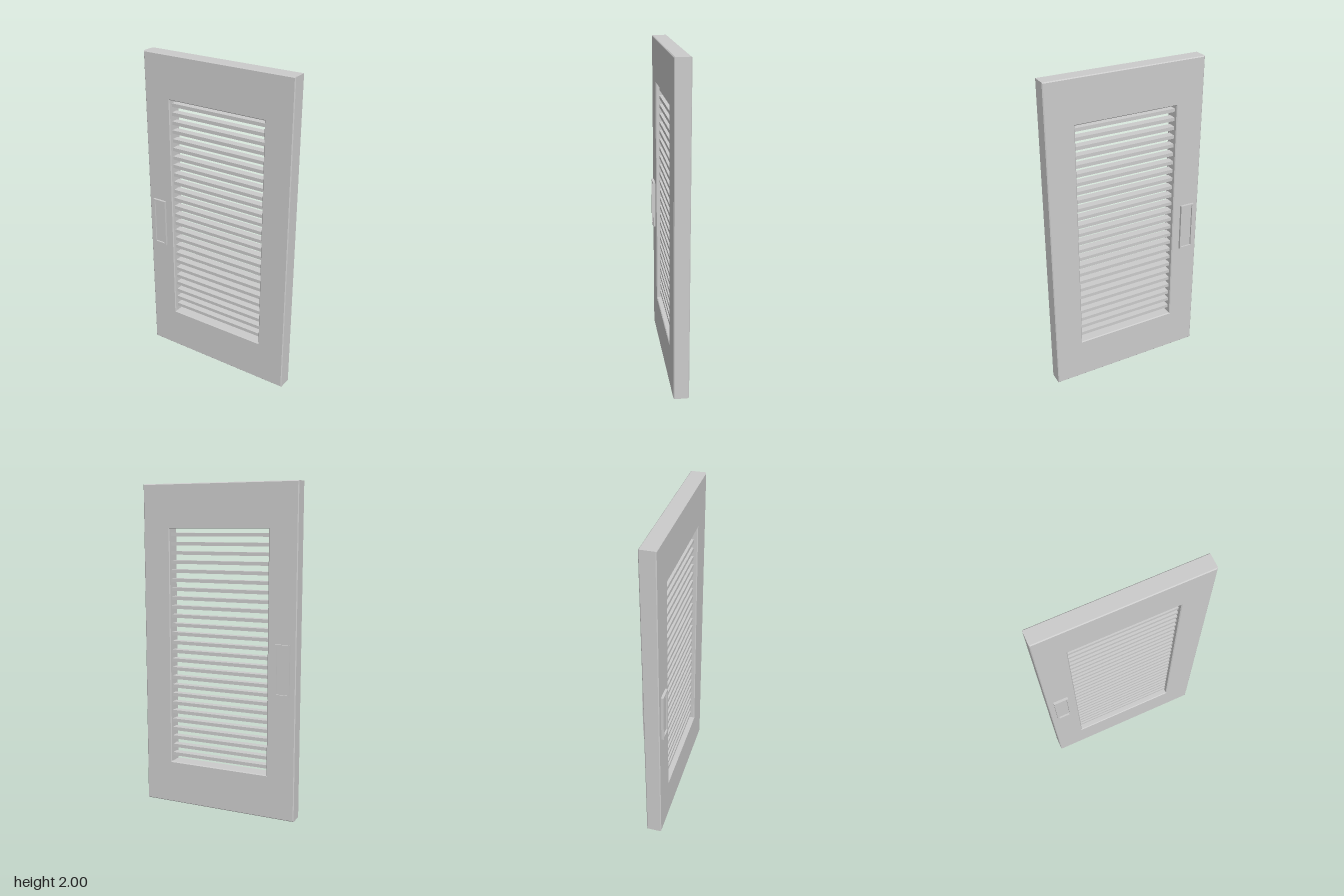
import * as THREE from 'three';

const material = new THREE.MeshStandardMaterial({ color: 0xcccccc, flatShading: true });

function rectPoints(w, h) {
  return [[-w, -h], [w, -h], [w, h], [-w, h]].map(([x, y]) => new THREE.Vector2(x / 2, y / 2));
}

// Rectangular ring centred on the origin, with bevelled edges
function ringGeometry(w, h, holeW, holeH, depth, bevel) {
  const shape = new THREE.Shape(rectPoints(w, h));
  shape.holes.push(new THREE.Path(rectPoints(holeW, holeH).reverse()));
  const geometry = new THREE.ExtrudeGeometry(shape, {
    depth: depth - 2 * bevel,
    bevelEnabled: bevel > 0,
    bevelThickness: bevel,
    bevelSize: bevel,
    bevelOffset: -bevel,
    bevelSegments: 1,
  });
  return geometry.translate(0, 0, bevel - depth / 2);
}

function addMesh(parent, name, geometry, x, y, z) {
  const mesh = new THREE.Mesh(geometry, material);
  mesh.name = name;
  mesh.position.set(x, y, z);
  parent.add(mesh);
  return mesh;
}

export function createModel() {
  const door = new THREE.Group();
  door.name = 'louvredDoor';

  // Frame around the louvred opening
  const thickness = 0.094;
  addMesh(door, 'frame', ringGeometry(1, 2, 0.646, 1.466, thickness, 0.005), 0, 1, 0).position.y = 1;

  // Horizontal slats
  const slats = new THREE.Group();
  slats.name = 'slats';
  const slatGeometry = new THREE.BoxGeometry(0.646, 0.021, 0.047);
  const count = 26, lowest = 0.312, highest = 1.698;
  for (let i = 0; i < count; i++) {
    const y = lowest + (highest - lowest) * i / (count - 1);
    addMesh(slats, 'slat', slatGeometry, 0, y, 0);
  }
  door.add(slats);

  // Recessed pull handle on each face
  for (const side of [1, -1]) {
    const handle = new THREE.Group();
    handle.name = side > 0 ? 'frontHandle' : 'backHandle';
    addMesh(handle, 'handleRim', ringGeometry(0.09, 0.308, 0.069, 0.285, 0.018, 0), 0, 0, 0);
    addMesh(handle, 'handlePlate', new THREE.BoxGeometry(0.07, 0.286, 0.006), 0, 0, -side * 0.004);
    handle.position.set(-0.419, 0.916, side * 0.053);
    door.add(handle);
  }

  return door;
}
